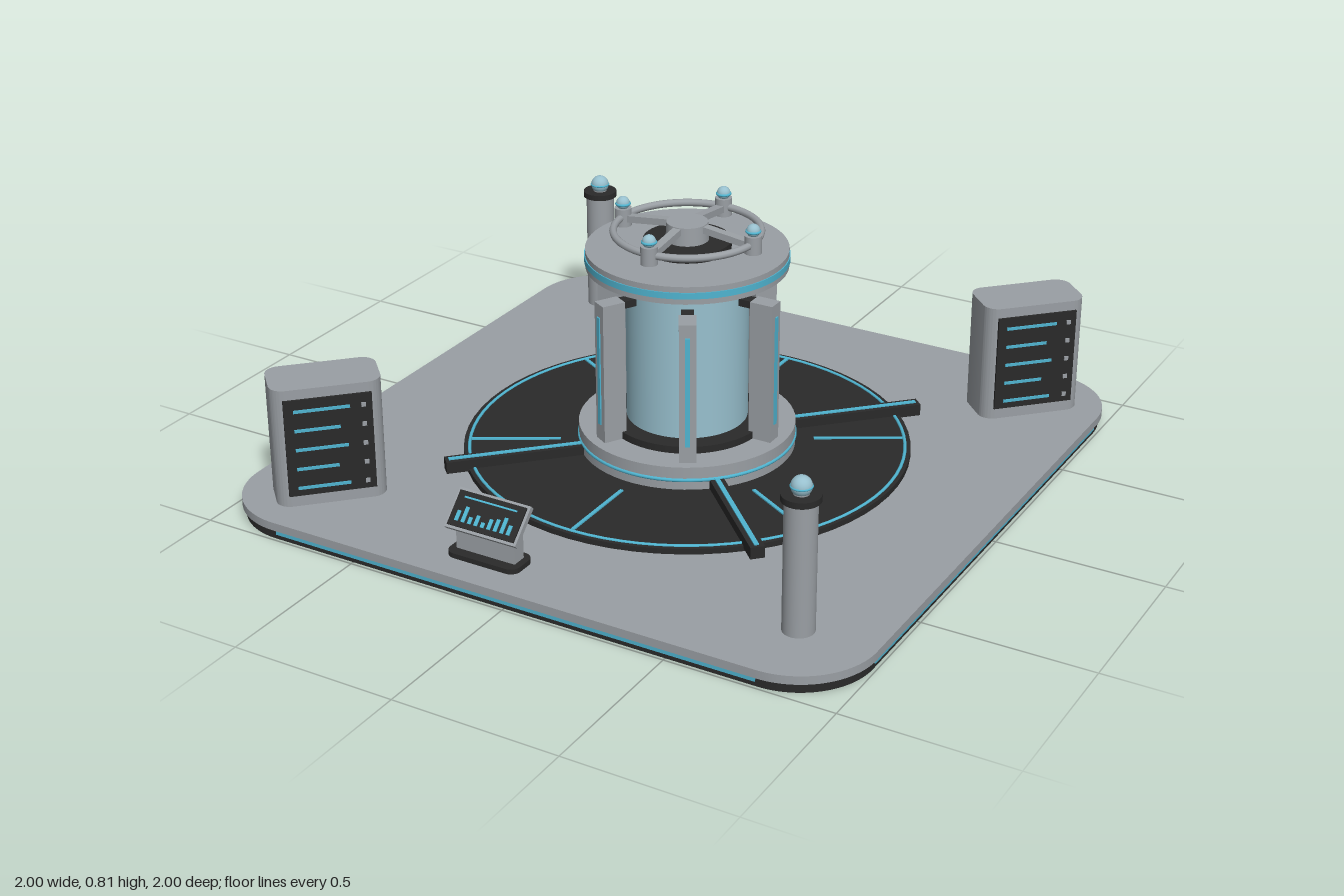
import * as THREE from 'three';
import { toCreasedNormals } from 'three/addons/utils/BufferGeometryUtils.js';

const mat = (name, color) => {
  const m = new THREE.MeshStandardMaterial({ color });
  m.name = name;
  return m;
};

export function createModel() {
  const grey = mat('grey metal', 0x9a9fa4);
  const dark = mat('dark rubber', 0x2a2a2a);
  const cyan = mat('cyan light', 0x4fb4d0);
  const pale = mat('pale blue core', 0x98c0ce);
  const root = new THREE.Group();
  root.name = 'reactorPlatform';

  const add = (parent, name, geo, material, x = 0, y = 0, z = 0) => {
    const m = new THREE.Mesh(geo, material);
    m.name = name;
    m.position.set(x, y, z);
    parent.add(m);
    return m;
  };
  const group = (parent, name, x = 0, y = 0, z = 0, ry = 0) => {
    const g = new THREE.Group();
    g.name = name;
    g.position.set(x, y, z);
    g.rotation.y = ry;
    parent.add(g);
    return g;
  };
  const box = (p, name, m, w, h, d, x, y, z) => add(p, name, new THREE.BoxGeometry(w, h, d), m, x, y, z);
  // upright cylinder between two heights
  const cyl = (p, name, m, r, y0, y1, x = 0, z = 0, r2 = r) =>
    add(p, name, new THREE.CylinderGeometry(r2, r, y1 - y0, 64), m, x, (y0 + y1) / 2, z);
  const ring = (p, name, m, r, tube, y) => {
    const t = add(p, name, new THREE.TorusGeometry(r, tube, 10, 80), m, 0, y, 0);
    t.rotation.x = Math.PI / 2;
    return t;
  };
  // rounded rectangle extruded upward from y0 to y1
  const slab = (p, name, m, w, d, r, y0, y1) => {
    const a = w / 2, b = d / 2, s = new THREE.Shape();
    s.moveTo(a, b - r);
    s.absarc(a - r, b - r, r, 0, Math.PI / 2);
    s.absarc(-a + r, b - r, r, Math.PI / 2, Math.PI);
    s.absarc(-a + r, -b + r, r, Math.PI, Math.PI * 1.5);
    s.absarc(a - r, -b + r, r, Math.PI * 1.5, Math.PI * 2);
    const geo = new THREE.ExtrudeGeometry(s, { depth: y1 - y0, bevelEnabled: false, curveSegments: 12 });
    geo.rotateX(-Math.PI / 2);
    return add(p, name, toCreasedNormals(geo, 0.6), m, 0, y0, 0);
  };

  // platform
  const platform = group(root, 'platform');
  slab(platform, 'platformSkirt', dark, 1.98, 1.98, 0.22, 0, 0.03);
  slab(platform, 'platformDeck', grey, 2, 2, 0.23, 0.03, 0.055);
  for (let i = 0; i < 4; i++) {
    const side = group(platform, 'platformSide', 0, 0, 0, i * Math.PI / 2);
    box(side, 'edgeLight', cyan, 1.53, 0.011, 0.008, 0, 0.021, 0.991);
  }

  // dark floor disc with light lines
  const floor = group(root, 'floorDisc');
  cyl(floor, 'disc', dark, 0.665, 0.05, 0.072);
  ring(floor, 'discLight', cyan, 0.648, 0.005, 0.072);
  for (let i = 0; i < 6; i++) {
    const spoke = group(floor, 'floorSpoke', 0, 0, 0, Math.PI / 6 + i * Math.PI / 3);
    box(spoke, 'spokeLight', cyan, 0.265, 0.006, 0.011, 0.51, 0.073, 0);
  }

  // diagonal cable ducts
  for (let i = 0; i < 4; i++) {
    const duct = group(root, 'cableDuct', 0, 0, 0, Math.PI / 4 + i * Math.PI / 2);
    box(duct, 'ductBody', dark, 0.43, 0.036, 0.042, 0.515, 0.083, 0);
    box(duct, 'ductLight', cyan, 0.41, 0.005, 0.014, 0.515, 0.102, 0);
  }

  // core tower
  const tower = group(root, 'tower');
  cyl(tower, 'plinth', grey, 0.322, 0.06, 0.143);
  ring(tower, 'plinthLight', cyan, 0.32, 0.006, 0.102);
  cyl(tower, 'coreCollar', dark, 0.235, 0.143, 0.165);
  cyl(tower, 'core', pale, 0.18, 0.16, 0.645);
  cyl(tower, 'cap', grey, 0.295, 0.64, 0.693);
  cyl(tower, 'capLight', cyan, 0.298, 0.657, 0.676);
  cyl(tower, 'capHub', dark, 0.128, 0.69, 0.718);

  // six columns around the core
  for (let i = 0; i < 6; i++) {
    const col = group(tower, 'column', 0, 0, 0, i * Math.PI / 3);
    box(col, 'columnBody', grey, 0.072, 0.435, 0.05, 0.256, 0.358, 0);
    box(col, 'columnLight', cyan, 0.006, 0.34, 0.014, 0.293, 0.365, 0);
    box(col, 'columnBracket', dark, 0.06, 0.022, 0.036, 0.2, 0.563, 0);
  }

  // crown on top
  const crown = group(root, 'crown');
  cyl(crown, 'crownHub', grey, 0.063, 0.715, 0.772, 0, 0, 0.06);
  ring(crown, 'crownRing', grey, 0.213, 0.011, 0.745);
  for (let i = 0; i < 4; i++) {
    const arm = group(crown, 'crownArm', 0, 0, 0, i * Math.PI / 2);
    const bar = box(arm, 'armBar', grey, 0.16, 0.02, 0.026, 0.135, 0.75, 0);
    bar.rotation.z = -0.12;
    cyl(arm, 'armPost', grey, 0.025, 0.718, 0.772, 0.215);
    add(arm, 'armLamp', new THREE.SphereGeometry(0.02, 20, 14), pale, 0.215, 0.786, 0);
    const band = ring(arm, 'armLampBand', cyan, 0.019, 0.004, 0.784);
    band.position.x = 0.215;
  }

  // two equipment cabinets on opposite corners, both facing the same way
  for (const s of [1, -1]) {
    const cab = group(root, 'cabinet', 0.755 * s, 0, -0.755 * s, Math.PI / 4);
    slab(cab, 'cabinetBody', grey, 0.316, 0.168, 0.043, 0.05, 0.42);
    box(cab, 'cabinetPanel', dark, 0.25, 0.3, 0.008, 0, 0.24, 0.086);
    for (let i = 0; i < 5; i++) {
      const y = 0.355 - i * 0.06, w = [0.16, 0.13, 0.15, 0.12, 0.15][i];
      box(cab, 'panelLine', cyan, w, 0.009, 0.005, -0.098 + w / 2, y, 0.091);
      box(cab, 'panelDot', grey, 0.013, 0.013, 0.005, 0.1, y, 0.091);
    }
  }

  // two lamp posts on the other corners
  for (const s of [1, -1]) {
    const post = group(root, 'lampPost', 0.775 * s, 0, 0.773 * s);
    cyl(post, 'postBody', grey, 0.045, 0.05, 0.442);
    cyl(post, 'postCollar', dark, 0.054, 0.438, 0.456);
    cyl(post, 'postNeck', grey, 0.022, 0.45, 0.465);
    add(post, 'postLamp', new THREE.SphereGeometry(0.029, 24, 16), pale, 0, 0.478, 0);
    ring(post, 'postLampBand', cyan, 0.028, 0.003, 0.478);
  }

  // control console with a tilted screen
  const console_ = group(root, 'console', -0.13, 0, 0.862);
  slab(console_, 'consoleFoot', dark, 0.23, 0.1, 0.03, 0.05, 0.07);
  box(console_, 'consoleStand', grey, 0.19, 0.1, 0.045, 0, 0.115, -0.004);
  const screen = group(console_, 'screen', 0, 0.183, 0);
  screen.rotation.x = -Math.PI / 4;
  box(screen, 'screenFrame', grey, 0.232, 0.118, 0.016, 0, 0, -0.004);
  box(screen, 'screenPanel', dark, 0.216, 0.102, 0.008, 0, 0, 0.005);
  box(screen, 'screenLine', cyan, 0.17, 0.005, 0.004, 0, 0.034, 0.01);
  [0.03, 0.045, 0.02, 0.03, 0.015, 0.03, 0.035, 0.045, 0.028].forEach((h, i) =>
    box(screen, 'screenBar', cyan, 0.011, h, 0.004, -0.084 + i * 0.021, -0.036 + h / 2, 0.01));

  return root;
}
